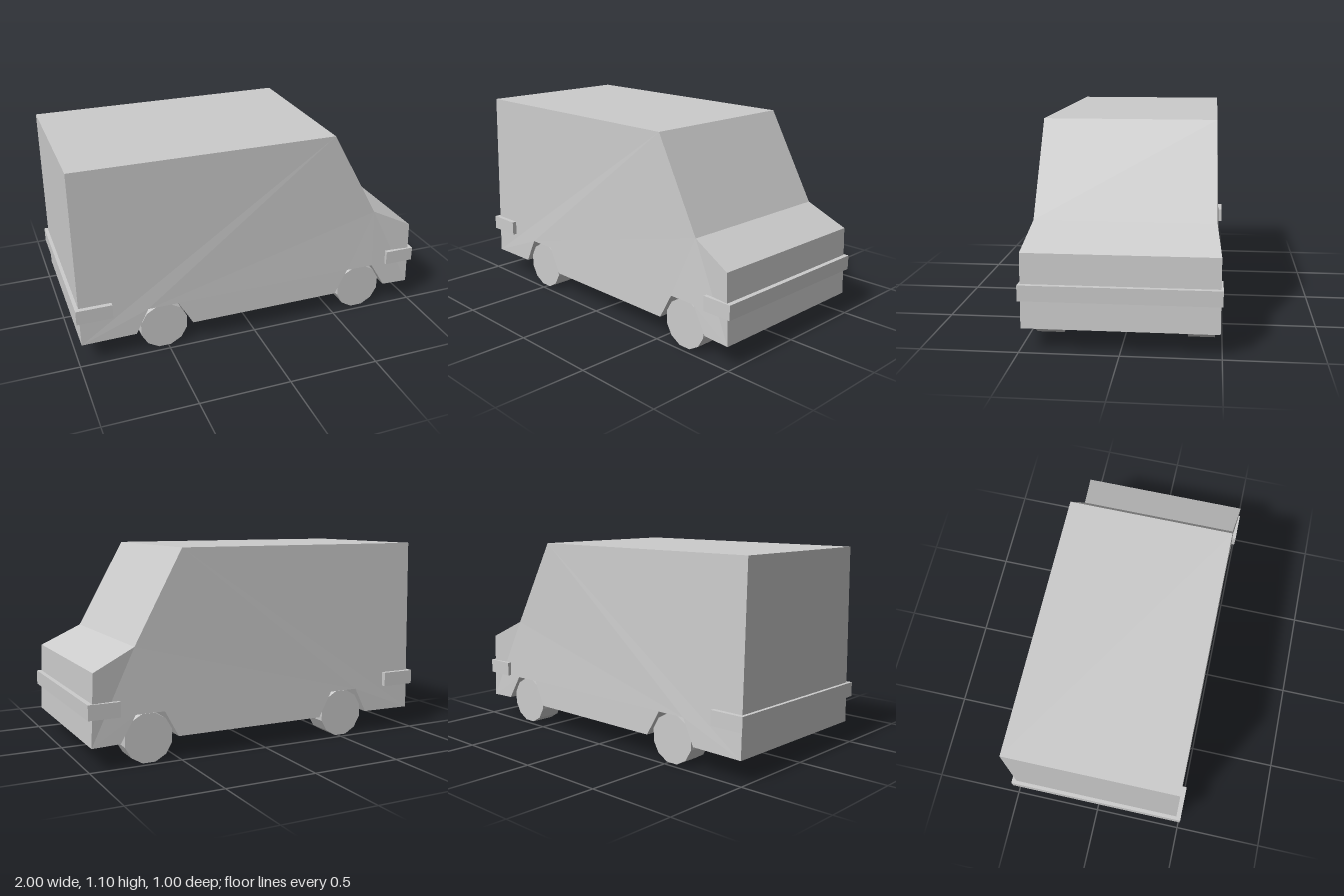
import * as THREE from 'three';

// Side outline of the van, nose towards +x: [x, y, half width]
const OUTLINE = [
  [-0.98, 0.12, 0.48], [-0.68, 0.125, 0.483], [-0.61, 0.265, 0.48], [-0.44, 0.265, 0.48],
  [-0.36, 0.125, 0.485], [0.51, 0.125, 0.485], [0.585, 0.265, 0.48], [0.745, 0.265, 0.482],
  [0.83, 0.125, 0.488], [0.983, 0.12, 0.49], [0.968, 0.5, 0.49], [0.74, 0.61, 0.466],
  [0.47, 1.1, 0.455], [-0.983, 1.1, 0.455],
];

export function createModel() {
  const van = new THREE.Group();
  van.name = 'van';
  const material = new THREE.MeshStandardMaterial({ color: 0xcccccc, flatShading: true });

  const add = (name, geometry, x = 0, y = 0, z = 0) => {
    const mesh = new THREE.Mesh(geometry, material);
    mesh.name = name;
    mesh.position.set(x, y, z);
    van.add(mesh);
  };

  // Body with wheel arches, leaning inwards towards the roof
  const shape = new THREE.Shape(OUTLINE.map(([x, y]) => new THREE.Vector2(x, y)));
  const body = new THREE.ExtrudeGeometry(shape, { depth: 1, bevelEnabled: false });
  const p = body.attributes.position;
  for (let i = 0; i < p.count; i++) {
    const point = OUTLINE.find(([x, y]) => Math.hypot(x - p.getX(i), y - p.getY(i)) < 1e-4);
    p.setZ(i, p.getZ(i) > 0.5 ? point[2] : -point[2]);
  }
  body.computeVertexNormals();
  add('body', body);

  // Wraparound bumpers
  add('frontBumper', new THREE.BoxGeometry(0.17, 0.08, 1), 0.915, 0.305);
  add('rearBumper', new THREE.BoxGeometry(0.195, 0.08, 1), -0.9025, 0.305);

  // Twelve-sided wheels resting on a flat facet
  const wheel = new THREE.CylinderGeometry(0.1346, 0.1346, 0.14, 12);
  wheel.rotateY(Math.PI / 12).rotateX(Math.PI / 2);
  for (const [end, x] of [['front', 0.67], ['rear', -0.52]]) {
    for (const [side, s] of [['Right', 1], ['Left', -1]]) {
      add(`${end}${side}Wheel`, wheel, x, 0.13, s * 0.395);
    }
  }
  return van;
}
